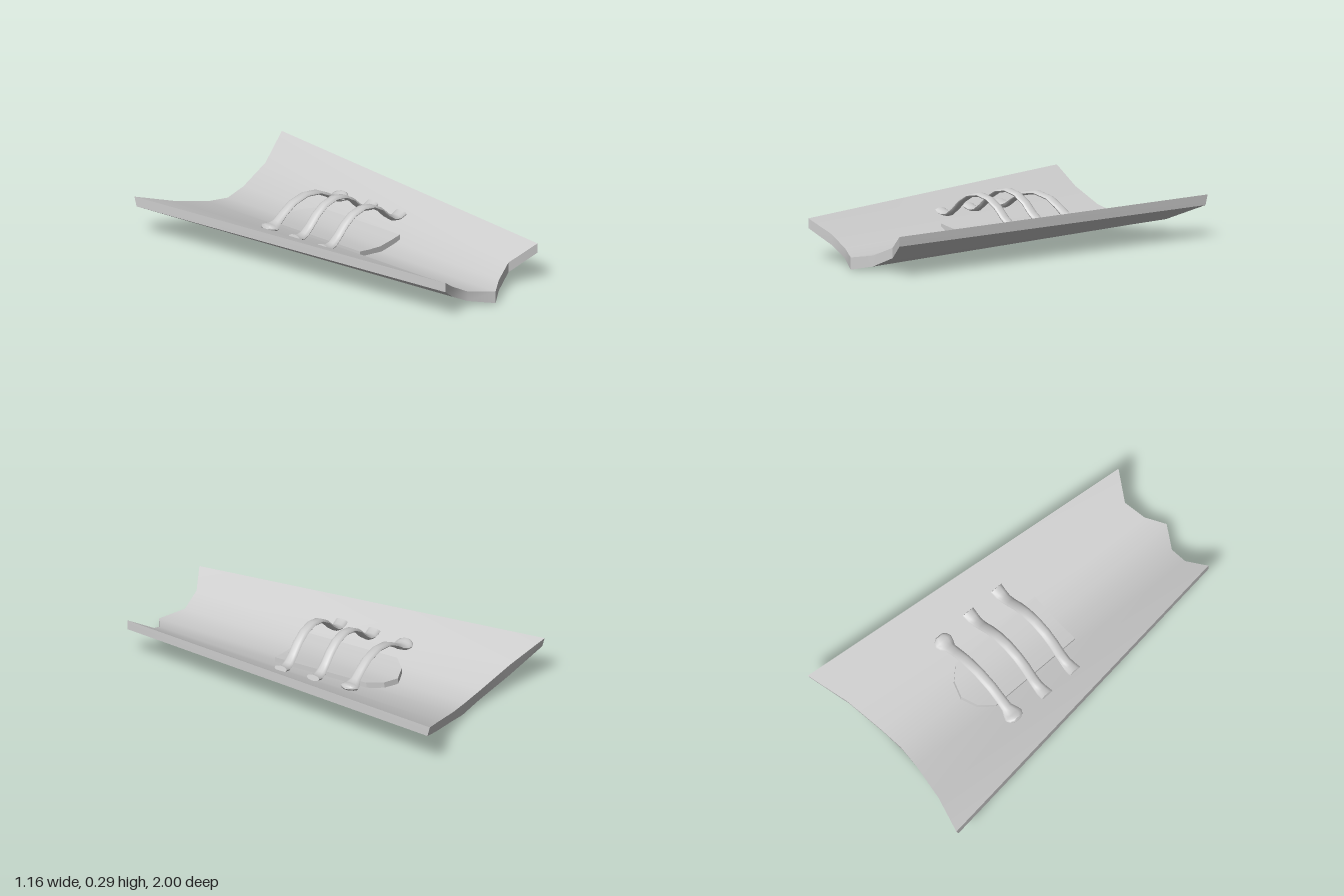
import * as THREE from 'three';
import { toCreasedNormals } from 'three/addons/utils/BufferGeometryUtils.js';

// Skins a row of equal rings running toward +x and closes both ends.
function loft(rings, crease) {
  const pos = [];
  const n = rings[0].length;
  const tri = (a, b, c) => pos.push(...a, ...b, ...c);
  for (let i = 0; i < rings.length - 1; i++) {
    for (let j = 0; j < n; j++) {
      const k = (j + 1) % n;
      const [a, b, c, d] = [rings[i][j], rings[i + 1][j], rings[i + 1][k], rings[i][k]];
      tri(a, b, c);
      tri(a, c, d);
    }
  }
  const first = rings[0], last = rings[rings.length - 1];
  for (let j = 1; j < n - 1; j++) {
    tri(first[0], first[j], first[j + 1]);
    tri(last[0], last[j + 1], last[j]);
  }
  const g = new THREE.BufferGeometry();
  g.setAttribute('position', new THREE.Float32BufferAttribute(pos, 3));
  g.computeVertexNormals();
  return toCreasedNormals(g, crease);
}

// A band with an elliptical section; path rows are x, y, half width, half thickness.
function bandGeometry(path, z, sides = 12) {
  const rings = path.map(([x, y, w, t], i) => {
    const p = path[Math.max(i - 1, 0)], q = path[Math.min(i + 1, path.length - 1)];
    const len = Math.hypot(q[0] - p[0], q[1] - p[1]);
    const nx = -(q[1] - p[1]) / len, ny = (q[0] - p[0]) / len;
    return Array.from({ length: sides }, (_, k) => {
      const a = (k / sides) * Math.PI * 2;
      const s = Math.sin(a) * t;
      return [x + nx * s, y + ny * s, z + Math.cos(a) * w];
    });
  });
  return loft(rings, 0.9);
}

// Mirrors a half path (centre first) into a full one running toward +x.
const mirrorPath = (half, dx) => [
  ...half.slice(1).reverse().map(([x, ...r]) => [dx - x, ...r]),
  ...half.map(([x, ...r]) => [dx + x, ...r]),
];

export function createModel() {
  const group = new THREE.Group();
  const grey = new THREE.MeshStandardMaterial({ color: 0xcccccc });
  grey.name = 'light grey';
  const add = (name, geometry) => {
    const mesh = new THREE.Mesh(geometry, grey);
    mesh.name = name;
    group.add(mesh);
  };

  // Curved tapering plate: front x, front z, back x, back z, top y, bottom y (front), bottom y (back)
  const columns = [
    [-0.36, 0.97, -0.585, -1.0, 0.225, 0.17, 0.178],
    [-0.24, 0.915, -0.36, -0.925, 0.15, 0.09, 0.08],
    [-0.13, 0.92, -0.14, -0.88, 0.09, 0.033, 0.027],
    [0, 1.0, 0, -0.865, 0.07, 0.002, 0],
    [0.1, 0.935, 0.14, -0.88, 0.085, 0.024, 0.027],
    [0.215, 0.9, 0.36, -0.92, 0.138, 0.08, 0.08],
    [0.355, 0.98, 0.58, -1.0, 0.225, 0.17, 0.175],
  ];
  add('plate', loft(columns.map(([fx, fz, bx, bz, top, low, lowBack]) => [
    [fx, top - 0.003, fz],
    [bx, top + 0.005, bz],
    [bx, lowBack, bz + 0.015],
    [fx, low, fz],
  ]), 0.6));

  // Forearm pad with an arched far end: x, top y, far z
  const pad = [
    [-0.17, 0.125, -0.35],
    [-0.1, 0.113, -0.42],
    [-0.01, 0.103, -0.45],
    [0.08, 0.111, -0.42],
    [0.145, 0.12, -0.35],
  ];
  add('armPad', loft(pad.map(([x, y, z]) => [
    [x, y, 0.205],
    [x, y, z],
    [x, 0.06, z - 0.006],
    [x, 0.06, 0.205],
  ]), 0.5));

  // Two tall straps with slightly flared ends
  const tall = [
    [0, 0.284, 0.028, 0.011],
    [0.075, 0.27, 0.028, 0.011],
    [0.14, 0.232, 0.028, 0.012],
    [0.19, 0.185, 0.028, 0.013],
    [0.235, 0.153, 0.03, 0.014],
    [0.27, 0.147, 0.034, 0.015],
    [0.312, 0.16, 0.037, 0.016],
  ];
  add('frontStrap', bandGeometry(mirrorPath(tall, -0.007), 0.075));
  add('middleStrap', bandGeometry(mirrorPath(tall, -0.007), -0.122));

  // Lower strap ending in rounded knobs
  const low = [
    [0, 0.246, 0.028, 0.011],
    [0.1, 0.229, 0.028, 0.011],
    [0.17, 0.193, 0.028, 0.012],
    [0.22, 0.16, 0.03, 0.014],
    [0.25, 0.148, 0.045, 0.018],
    [0.275, 0.148, 0.053, 0.02],
    [0.298, 0.156, 0.042, 0.018],
    [0.309, 0.161, 0.025, 0.012],
  ];
  add('rearStrap', bandGeometry(mirrorPath(low, -0.005), -0.325));

  return group;
}
